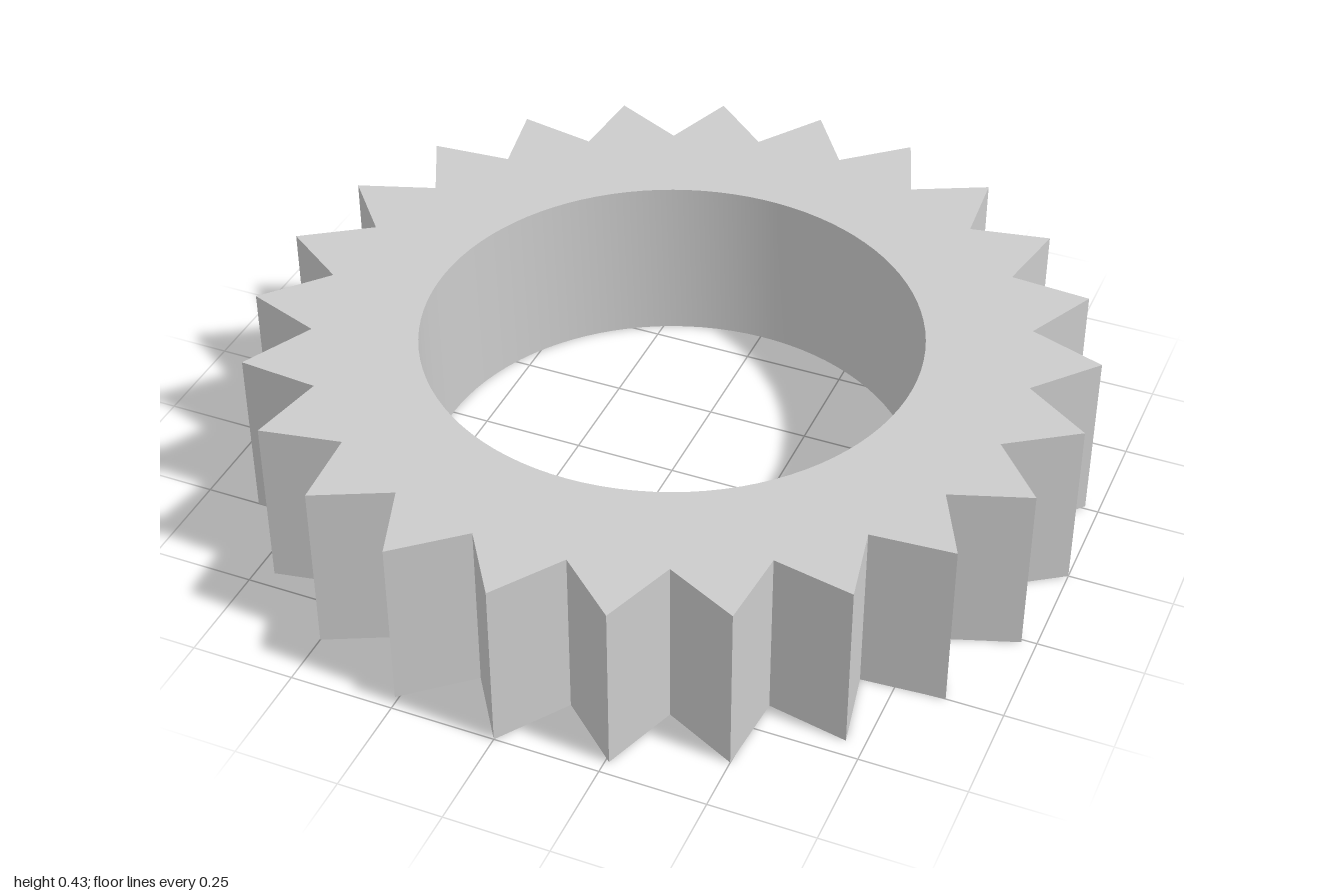
import * as THREE from 'three';
import { toCreasedNormals } from 'three/addons/utils/BufferGeometryUtils.js';

const TEETH = 24;
const TIP_RADIUS = 1;
const ROOT_RADIUS = 0.845;
const BORE_RADIUS = 0.593;
const HEIGHT = 0.425;

export function createModel() {
  const group = new THREE.Group();
  group.name = 'toothedRing';

  // Outline alternates between tooth tips and roots
  const outline = [];
  for (let i = 0; i < TEETH * 2; i++) {
    const angle = (i * Math.PI) / TEETH;
    const radius = i % 2 === 0 ? TIP_RADIUS : ROOT_RADIUS;
    outline.push(new THREE.Vector2(radius * Math.cos(angle), radius * Math.sin(angle)));
  }
  const profile = new THREE.Shape(outline);

  // Round bore through the middle
  profile.holes.push(new THREE.Path().absarc(0, 0, BORE_RADIUS, 0, Math.PI * 2, true));

  // Extruded upward from the ground; the bore is smooth, the teeth stay sharp
  const extruded = new THREE.ExtrudeGeometry(profile, {
    depth: HEIGHT,
    bevelEnabled: false,
    curveSegments: 48,
  });
  extruded.rotateX(-Math.PI / 2);

  const gear = new THREE.Mesh(
    toCreasedNormals(extruded, Math.PI / 7),
    new THREE.MeshStandardMaterial({ color: 0xcccccc })
  );
  gear.name = 'gearRing';
  group.add(gear);
  return group;
}
